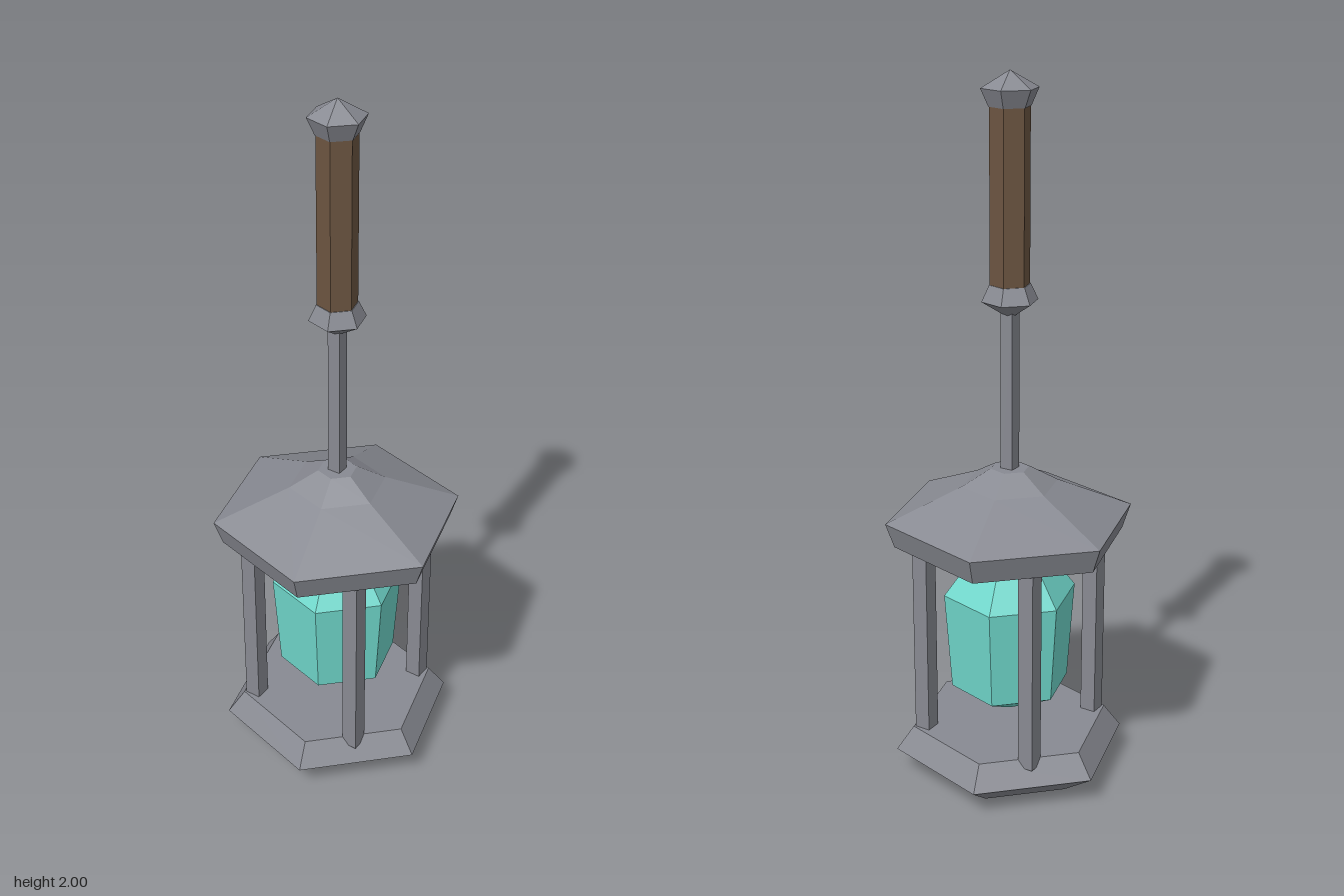
import * as THREE from 'three';

const metal = new THREE.MeshStandardMaterial({ color: 0x888a92 });
metal.name = 'grey metal';
const wood = new THREE.MeshStandardMaterial({ color: 0x6c5541 });
wood.name = 'brown grip';
const gem = new THREE.MeshStandardMaterial({ color: 0x70d8cc });
gem.name = 'turquoise crystal';
for (const m of [metal, wood, gem]) m.flatShading = true;

export function createModel() {
  const model = new THREE.Group();
  model.name = 'crystalLantern';

  const add = (name, geometry, material, x = 0, y = 0, z = 0) => {
    const mesh = new THREE.Mesh(geometry, material);
    mesh.name = name;
    mesh.position.set(x, y, z);
    model.add(mesh);
  };

  // Six-sided solid from [radius, y] pairs, listed from bottom to top
  const hex = (name, profile, material) => add(name, new THREE.LatheGeometry(
    profile.map(([r, y]) => new THREE.Vector2(r, y)), 6, Math.PI / 12), material);

  // Lantern body
  hex('base', [[0, 0], [0.23, 0], [0.335, 0.075], [0.285, 0.143], [0, 0.143]], metal);
  hex('roof', [[0, 0.71], [0.328, 0.71], [0.352, 0.78], [0.137, 0.873],
    [0.055, 0.92], [0, 0.92]], metal);
  hex('crystal', [[0, 0.17], [0.17, 0.263], [0.19, 0.548], [0.105, 0.66], [0, 0.71]], gem);

  // Four corner posts
  for (const sx of [-1, 1]) {
    for (const sz of [-1, 1]) {
      add('post', new THREE.BoxGeometry(0.046, 0.61, 0.046), metal, sx * 0.174, 0.425, sz * 0.174);
    }
  }

  // Rod and handle
  add('rod', new THREE.BoxGeometry(0.037, 0.48, 0.037), metal, 0, 1.13, 0);
  hex('lowerCap', [[0, 1.345], [0.078, 1.395], [0.057, 1.44], [0, 1.44]], metal);
  hex('grip', [[0, 1.435], [0.055, 1.435], [0.055, 1.91], [0, 1.91]], wood);
  hex('upperCap', [[0, 1.908], [0.057, 1.908], [0.078, 1.955], [0, 2]], metal);

  return model;
}
